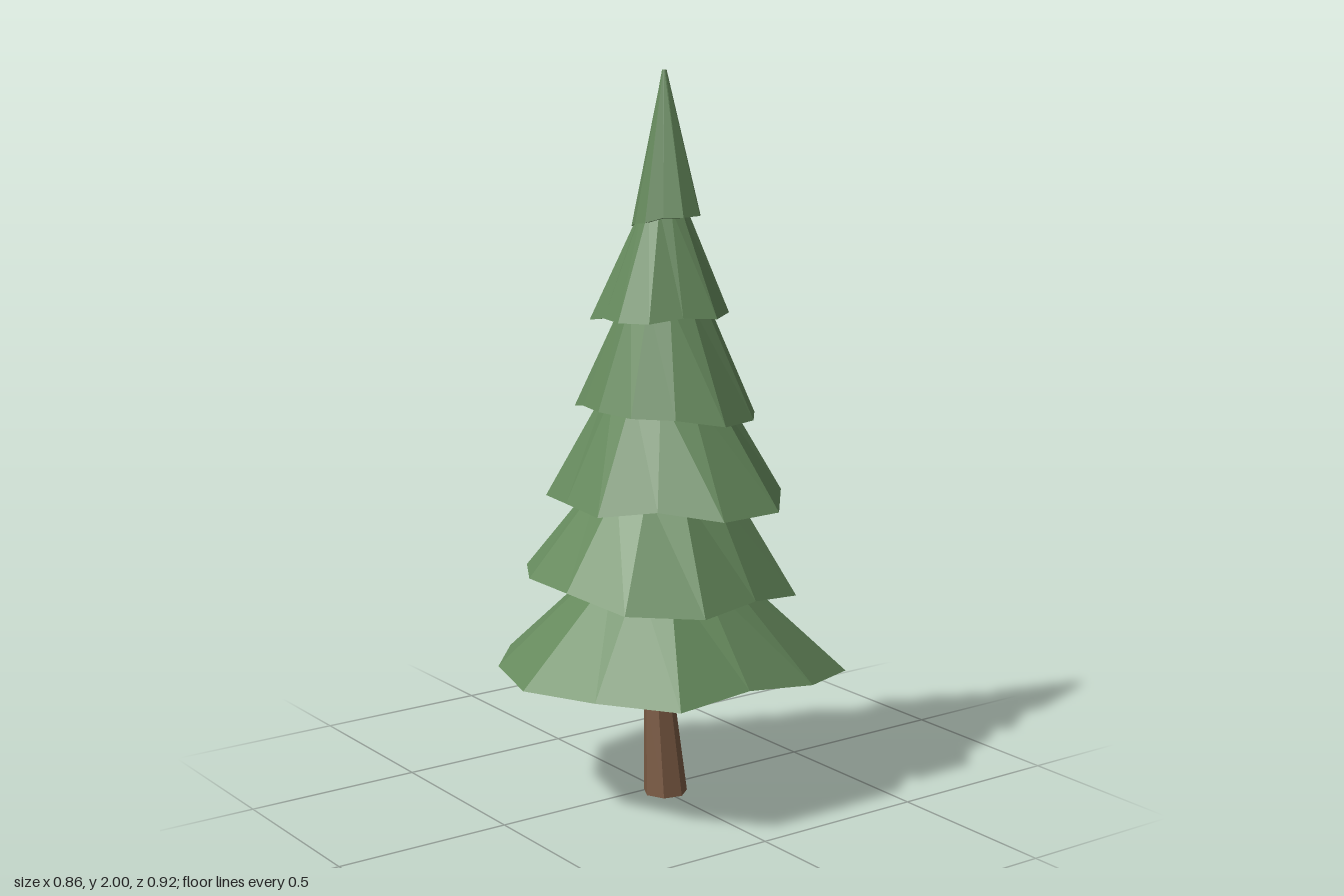
import * as THREE from 'three';

const AXIS_X = 0.04; // the crown stands slightly off centre

// Closed faceted solid through rings of equal length; each ring runs clockwise seen from above.
function loft(rings) {
  const pos = [];
  const tri = (...pts) => pts.forEach((p) => pos.push(...p));
  const centre = (ring) => [0, 1, 2].map((k) => ring.reduce((s, p) => s + p[k], 0) / ring.length);
  const n = rings[0].length;
  const last = rings[rings.length - 1];
  const base = centre(rings[0]);
  const top = centre(last);
  for (let i = 0; i < n; i++) {
    const j = (i + 1) % n;
    for (let r = 0; r < rings.length - 1; r++) {
      const a = rings[r], b = rings[r + 1];
      tri(a[i], b[i], b[j]);
      tri(a[i], b[j], a[j]);
    }
    tri(base, rings[0][i], rings[0][j]);
    tri(top, last[j], last[i]);
  }
  const geo = new THREE.BufferGeometry();
  geo.setAttribute('position', new THREE.Float32BufferAttribute(pos, 3));
  geo.computeVertexNormals(); // unshared corners give flat facets
  return geo;
}

// Ring of evenly spaced points; radius and height are functions of index and angle.
function ring(count, phase, cx, cz, radius, height) {
  return Array.from({ length: count }, (_, i) => {
    const a = THREE.MathUtils.degToRad(phase) + (i / count) * Math.PI * 2;
    const r = radius(i);
    return [cx + r * Math.cos(a), height(i, a), cz + r * Math.sin(a)];
  });
}

// One skirt of boughs: a ragged, tilted rim whose longer boughs droop lower.
function foliageTier({ y, topY, topR, phase, tiltX, tiltZ, reach }) {
  const mean = reach.reduce((s, r) => s + r, 0) / reach.length;
  const rim = ring(reach.length, phase, AXIS_X, 0, (i) => reach[i],
    (i, a) => y + tiltX * Math.cos(a) + tiltZ * Math.sin(a) + 0.4 * (mean - reach[i]));
  const top = ring(reach.length, phase, AXIS_X, 0, () => topR, () => topY);
  return loft([rim, top]);
}

// Tiers from bottom to top; reach is the length of the twelve boughs.
const TIERS = [
  { y: 0.37, topY: 0.66, topR: 0.17, phase: 0, tiltX: 0, tiltZ: 0.012,
    reach: [0.388, 0.448, 0.435, 0.46, 0.457, 0.48, 0.47, 0.43, 0.484, 0.455, 0.51, 0.44] },
  { y: 0.62, topY: 0.9, topR: 0.18, phase: 20, tiltX: -0.005, tiltZ: 0.03,
    reach: [0.4, 0.408, 0.367, 0.378, 0.394, 0.4, 0.36, 0.322, 0.31, 0.335, 0.37, 0.34] },
  { y: 0.86, topY: 1.16, topR: 0.15, phase: 9, tiltX: 0.005, tiltZ: -0.012,
    reach: [0.35, 0.285, 0.317, 0.293, 0.323, 0.36, 0.3, 0.28, 0.36, 0.339, 0.318, 0.364] },
  { y: 1.09, topY: 1.4, topR: 0.11, phase: 28, tiltX: 0.005, tiltZ: 0.012,
    reach: [0.228, 0.229, 0.22, 0.219, 0.265, 0.21, 0.269, 0.23, 0.235, 0.248, 0.258, 0.265] },
  { y: 1.35, topY: 1.64, topR: 0.06, phase: 18, tiltX: 0.01, tiltZ: -0.005,
    reach: [0.165, 0.184, 0.18, 0.168, 0.206, 0.189, 0.184, 0.165, 0.194, 0.17, 0.177, 0.189] },
  { y: 1.605, topY: 2, topR: 0.006, phase: 7, tiltX: 0.02, tiltZ: -0.008,
    reach: [0.106, 0.088, 0.097, 0.088, 0.08, 0.103, 0.088, 0.114, 0.095, 0.111, 0.095, 0.11] },
];

export function createModel() {
  const tree = new THREE.Group();
  tree.name = 'pineTree';

  const needles = new THREE.MeshStandardMaterial({ color: 0x668a5d });
  needles.name = 'needleGreen';
  const bark = new THREE.MeshStandardMaterial({ color: 0x7a5a43 });
  bark.name = 'barkBrown';

  // Foliage: skirts that narrow into the tier above
  TIERS.forEach((spec, i) => {
    const tier = new THREE.Mesh(foliageTier(spec), needles);
    tier.name = `foliageTier${i + 1}`;
    tree.add(tier);
  });

  // Trunk: tapered and slightly bent; each section is height, centre x and radius
  const sections = [[0, 0.04, 0.062], [0.26, 0.011, 0.044], [0.37, 0.028, 0.041], [0.5, 0.04, 0.036]];
  const trunk = new THREE.Mesh(
    loft(sections.map(([y, x, r]) => ring(7, 90, x, -0.005, () => r, () => y))), bark);
  trunk.name = 'trunk';
  tree.add(trunk);

  return tree;
}
